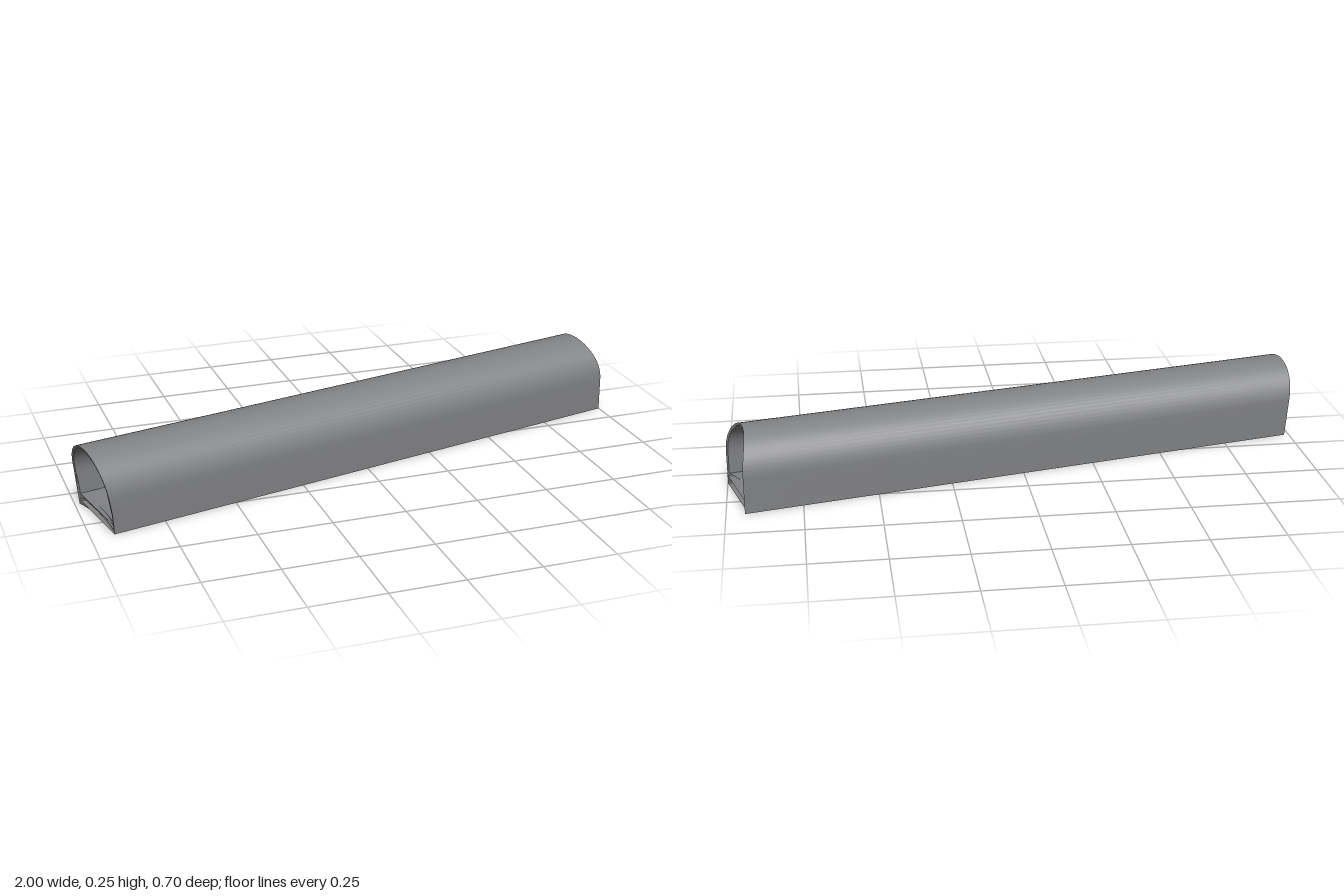
import * as THREE from 'three';
import { toCreasedNormals } from 'three/addons/utils/BufferGeometryUtils.js';

const RADIUS = 0.135, SPRING = 0.12, WALL = 0.01;

// Points along a straight edge, leaving out the last one
function edge(x0, y0, x1, y1, n) {
  return Array.from({ length: n }, (_, i) =>
    new THREE.Vector2(x0 + (x1 - x0) * i / n, y0 + (y1 - y0) * i / n));
}

// Closed outline: flat floor, upright walls, semicircular roof
function arch(r, floor) {
  const points = [...edge(-r, floor, r, floor, 16), ...edge(r, floor, r, SPRING, 4)];
  for (let i = 0; i <= 32; i++) {
    const a = Math.PI * i / 32;
    points.push(new THREE.Vector2(r * Math.cos(a), SPRING + r * Math.sin(a)));
  }
  return points.concat(edge(-r, SPRING, -r, floor, 4).slice(1));
}

// Distance by which a circular cut of radius r recedes at offset d
const sag = (r, d2) => r - Math.sqrt(r * r - d2);

export function createModel() {
  const group = new THREE.Group();
  group.name = 'tunnel';
  const concrete = new THREE.MeshStandardMaterial({ color: 0x808183 });
  concrete.name = 'grey concrete';

  // Section with the main bore and a flat duct below the floor slab
  const inner = RADIUS - WALL;
  const section = new THREE.Shape(arch(RADIUS, 0));
  section.holes.push(new THREE.Path(arch(inner, 0.04)));
  section.holes.push(new THREE.Path([
    ...edge(-inner, 0.012, inner, 0.012, 16),
    ...edge(inner, 0.012, inner, 0.025, 1),
    ...edge(inner, 0.025, -inner, 0.025, 16),
    ...edge(-inner, 0.025, -inner, 0.012, 1),
  ]));
  let geometry = new THREE.ExtrudeGeometry(section, { depth: 1, steps: 1, bevelEnabled: false });

  // Hollow the ends: a ball-shaped cut at one, an upright cylinder cut at the other
  const p = geometry.attributes.position;
  for (let i = 0; i < p.count; i++) {
    const x = p.getX(i), y = p.getY(i);
    p.setZ(i, p.getZ(i) < 0.5
      ? -0.965 - sag(0.7, x * x + y * y)
      : 0.962 + sag(0.3, x * x));
  }
  geometry = toCreasedNormals(geometry, 0.6);

  // Lay the run slantwise across the plan
  geometry.rotateY(Math.PI / 2 + 0.224);

  const tube = new THREE.Mesh(geometry, concrete);
  tube.name = 'tunnelLining';
  group.add(tube);
  return group;
}
